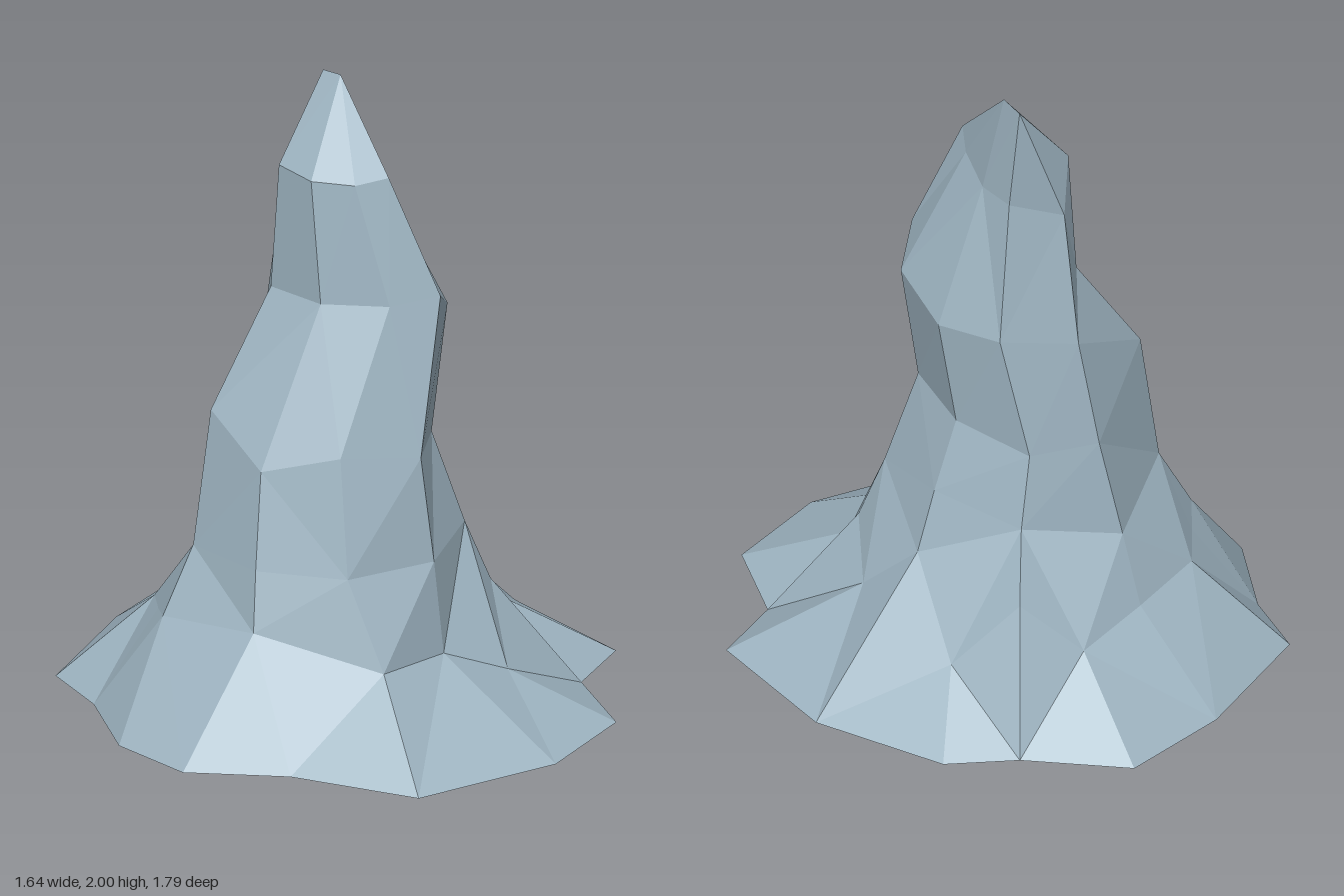
import * as THREE from 'three';

// Eight faceted columns of the spire: shoulder, waist, upper, head (x, y, z)
const columns = {
  A: [[0.04, 0.55, 0.425], [0.02, 0.89, 0.385], [0.16, 1.37, 0.305], [0.06, 1.75, 0.175]],
  B: [[0.29, 0.56, 0.26], [0.2, 0.87, 0.21], [0.27, 1.28, 0.2], [0.09, 1.7, 0.11]],
  C: [[0.31, 0.62, -0.05], [0.23, 0.85, -0.05], [0.275, 1.2, -0.02], [0.12, 1.66, -0.03]],
  D: [[0.16, 0.565, -0.31], [0.11, 0.8, -0.28], [0.17, 1.2, -0.205], [0.1, 1.65, -0.15]],
  E: [[-0.16, 0.48, -0.39], [-0.11, 0.8, -0.335], [-0.07, 1.15, -0.28], [-0.07, 1.58, -0.2]],
  F: [[-0.45, 0.54, -0.15], [-0.385, 0.98, -0.145], [-0.15, 1.33, -0.145], [-0.13, 1.74, -0.13]],
  G: [[-0.45, 0.56, 0.16], [-0.39, 0.86, 0.11], [-0.14, 1.35, 0.09], [-0.13, 1.74, 0.03]],
  H: [[-0.255, 0.55, 0.37], [-0.22, 0.92, 0.29], [0, 1.36, 0.255], [-0.045, 1.74, 0.14]],
};

// Flared foot: rim point (x, z), skirt point (x, y, z), column it runs into
const foot = [
  [[0.15, 0.89], [0.05, 0.25, 0.46], 'A'],
  [[0.49, 0.76], [0.27, 0.15, 0.5], 'B'],
  [[0.59, 0.46], [0.36, 0.36, 0.3], 'B'],
  [[0.82, 0.34], [0.46, 0.24, 0.12], 'B'],
  [[0.81, -0.15], [0.375, 0.42, -0.055], 'C'],
  [[0.61, -0.56], [0.45, 0.2, -0.36], 'D'],
  [[0.4, -0.67], [0.27, 0.41, -0.47], 'D'],
  [[0.13, -0.9], [0.1, 0.24, -0.57], 'E'],
  [[-0.23, -0.81], [-0.16, 0.27, -0.49], 'E'],
  [[-0.65, -0.58], [-0.42, 0.28, -0.38], 'F'],
  [[-0.69, -0.34], [-0.5, 0.3, -0.26], 'F'],
  [[-0.82, -0.05], [-0.565, 0.33, -0.155], 'F'],
  [[-0.79, 0.23], [-0.49, 0.375, 0.2], 'G'],
  [[-0.55, 0.46], [-0.49, 0.375, 0.2], 'G'],
  [[-0.34, 0.83], [-0.22, 0.27, 0.505], 'H'],
];

const tipFront = [0.08, 2, -0.09];
const tipBack = [0.075, 1.99, -0.17];

// Joins neighbouring rings with flat triangles, splitting along the shorter diagonal
function loft(rings) {
  const positions = [];
  const dist = (p, q) => Math.hypot(p[0] - q[0], p[1] - q[1], p[2] - q[2]);
  const triangle = (a, b, c) => {
    if (Math.min(dist(a, b), dist(b, c), dist(c, a)) > 1e-6) positions.push(...a, ...b, ...c);
  };
  for (let r = 0; r < rings.length - 1; r++) {
    const low = rings[r], high = rings[r + 1];
    for (let i = 0; i < low.length; i++) {
      const j = (i + 1) % low.length;
      const a = low[i], b = low[j], c = high[j], d = high[i];
      if (dist(a, c) < dist(b, d)) {
        triangle(a, b, c);
        triangle(a, c, d);
      } else {
        triangle(a, b, d);
        triangle(b, c, d);
      }
    }
  }
  const geometry = new THREE.BufferGeometry();
  geometry.setAttribute('position', new THREE.Float32BufferAttribute(positions, 3));
  geometry.computeVertexNormals();
  return geometry;
}

export function createModel() {
  const stone = new THREE.MeshStandardMaterial({
    name: 'blueGreyStone', color: 0x9db3c0, flatShading: true, side: THREE.DoubleSide,
  });
  const group = new THREE.Group();
  group.name = 'rockSpire';
  const add = (name, rings) => {
    const mesh = new THREE.Mesh(loft(rings), stone);
    mesh.name = name;
    group.add(mesh);
  };

  // Open-bottomed foot flaring out to the ground
  add('flaredFoot', [
    foot.map(([rim]) => [rim[0], 0, rim[1]]),
    foot.map(([, skirt]) => skirt),
    foot.map(([, , key]) => columns[key][0]),
  ]);

  // Twisting shaft, narrowing to a short ridge at the tip
  const keys = Object.keys(columns);
  const rings = [0, 1, 2, 3].map((level) => keys.map((key) => columns[key][level]));
  rings.push(keys.map((key) => ('CDEF'.includes(key) ? tipBack : tipFront)));
  add('spireShaft', rings);

  return group;
}
